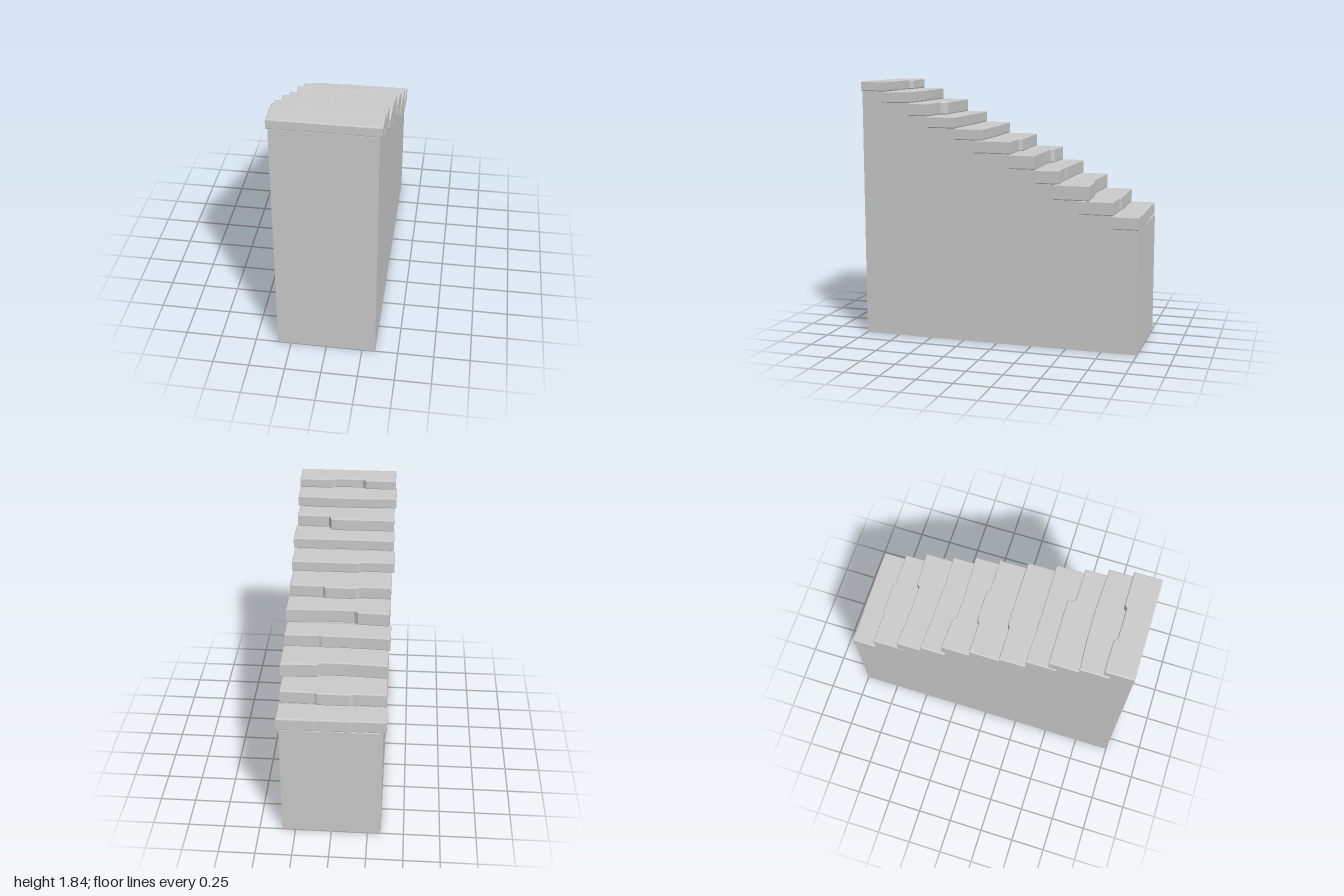
import * as THREE from 'three';

const HALF = 0.342; // half width of the base
const BEVEL = 0.007;

// Tread tops from the highest down; each tread rests at the height of the next one
const HEIGHTS = [1.84, 1.77, 1.69, 1.6, 1.52, 1.44, 1.35, 1.25, 1.155, 1.05, 0.955, 0.865];

// Per tread: left end, right end, front z, back z of its three thirds, inward sag of the back edge
const TREADS = [
  [-0.355, 0.36, 1, 0.803, 0.826, 0.808, 0],
  [-0.365, 0.36, 0.845, 0.65, 0.65, 0.65, -0.014],
  [-0.355, 0.35, 0.65, 0.448, 0.448, 0.497, -0.005],
  [-0.36, 0.362, 0.505, 0.298, 0.298, 0.298, 0.003],
  [-0.37, 0.355, 0.3, 0.118, 0.101, 0.101, 0],
  [-0.355, 0.35, 0.165, -0.098, -0.116, -0.098, 0],
  [-0.35, 0.36, -0.095, -0.302, -0.28, -0.28, 0.014],
  [-0.365, 0.355, -0.275, -0.455, -0.455, -0.448, 0.012],
  [-0.355, 0.364, -0.41, -0.64, -0.64, -0.662, 0.014],
  [-0.355, 0.352, -0.585, -0.824, -0.834, -0.823, 0],
  [-0.363, 0.36, -0.82, -0.992, -0.997, -1, 0],
];

// Worn slab: plan outline extruded upwards with slightly rounded edges
function makeTread([left, right, front, backLeft, backMid, backRight, sag], bottom, top, material) {
  const outline = [new THREE.Vector2(left, -front), new THREE.Vector2(right, -front)];
  for (const x of [right, 0.24, 0.12, 0.1, 0, -0.11, -0.135, -0.25, left]) {
    const level = x > 0.11 ? backRight : x < -0.12 ? backLeft : backMid;
    const wave = sag * Math.max(0, Math.cos((Math.PI * x) / 0.72));
    outline.push(new THREE.Vector2(x, -level - wave));
  }
  const geometry = new THREE.ExtrudeGeometry(new THREE.Shape(outline), {
    depth: top - bottom - 2 * BEVEL,
    bevelThickness: BEVEL,
    bevelSize: BEVEL,
    bevelOffset: -BEVEL,
    bevelSegments: 2,
  });
  geometry.rotateX(-Math.PI / 2);
  geometry.translate(0, bottom + BEVEL, 0);
  return new THREE.Mesh(geometry, material);
}

// Hollow base, open underneath, stepped to carry the treads
function makeBase(material) {
  const base = new THREE.Group();
  base.name = 'base';

  // side profile as (z, y), from the front foot over the ledges to the back foot
  const fronts = [...TREADS.map((tread) => tread[2]), -1];
  const profile = [[1, 0]];
  for (let i = 0; i < TREADS.length; i++) {
    profile.push([fronts[i], HEIGHTS[i + 1]], [fronts[i + 1], HEIGHTS[i + 1]]);
  }
  profile.push([-1, 0]);

  // side walls
  const sideShape = new THREE.Shape(profile.map(([z, y]) => new THREE.Vector2(-z, y)));
  const sideGeometry = new THREE.ShapeGeometry(sideShape).rotateY(Math.PI / 2);
  for (const side of [-1, 1]) {
    const wall = new THREE.Mesh(sideGeometry, material);
    wall.name = side > 0 ? 'leftWall' : 'rightWall';
    wall.position.x = side * HALF;
    base.add(wall);
  }

  // front wall, ledges, risers and back wall as one folded strip
  const corners = [];
  for (let i = 0; i + 1 < profile.length; i++) {
    const [z0, y0] = profile[i];
    const [z1, y1] = profile[i + 1];
    const a = [-HALF, y0, z0];
    const b = [HALF, y0, z0];
    const c = [HALF, y1, z1];
    const d = [-HALF, y1, z1];
    corners.push(...a, ...b, ...c, ...a, ...c, ...d);
  }
  const stripGeometry = new THREE.BufferGeometry();
  stripGeometry.setAttribute('position', new THREE.Float32BufferAttribute(corners, 3));
  stripGeometry.computeVertexNormals();
  const strip = new THREE.Mesh(stripGeometry, material);
  strip.name = 'steppedShell';
  base.add(strip);
  return base;
}

export function createModel() {
  const model = new THREE.Group();
  model.name = 'staircase';
  const stone = new THREE.MeshStandardMaterial({ color: 0xcccccc });
  const shell = new THREE.MeshStandardMaterial({ color: 0xcccccc, side: THREE.DoubleSide });

  model.add(makeBase(shell));
  TREADS.forEach((row, i) => {
    const tread = makeTread(row, HEIGHTS[i + 1], HEIGHTS[i], stone);
    tread.name = `tread${i + 1}`;
    model.add(tread);
  });
  return model;
}
